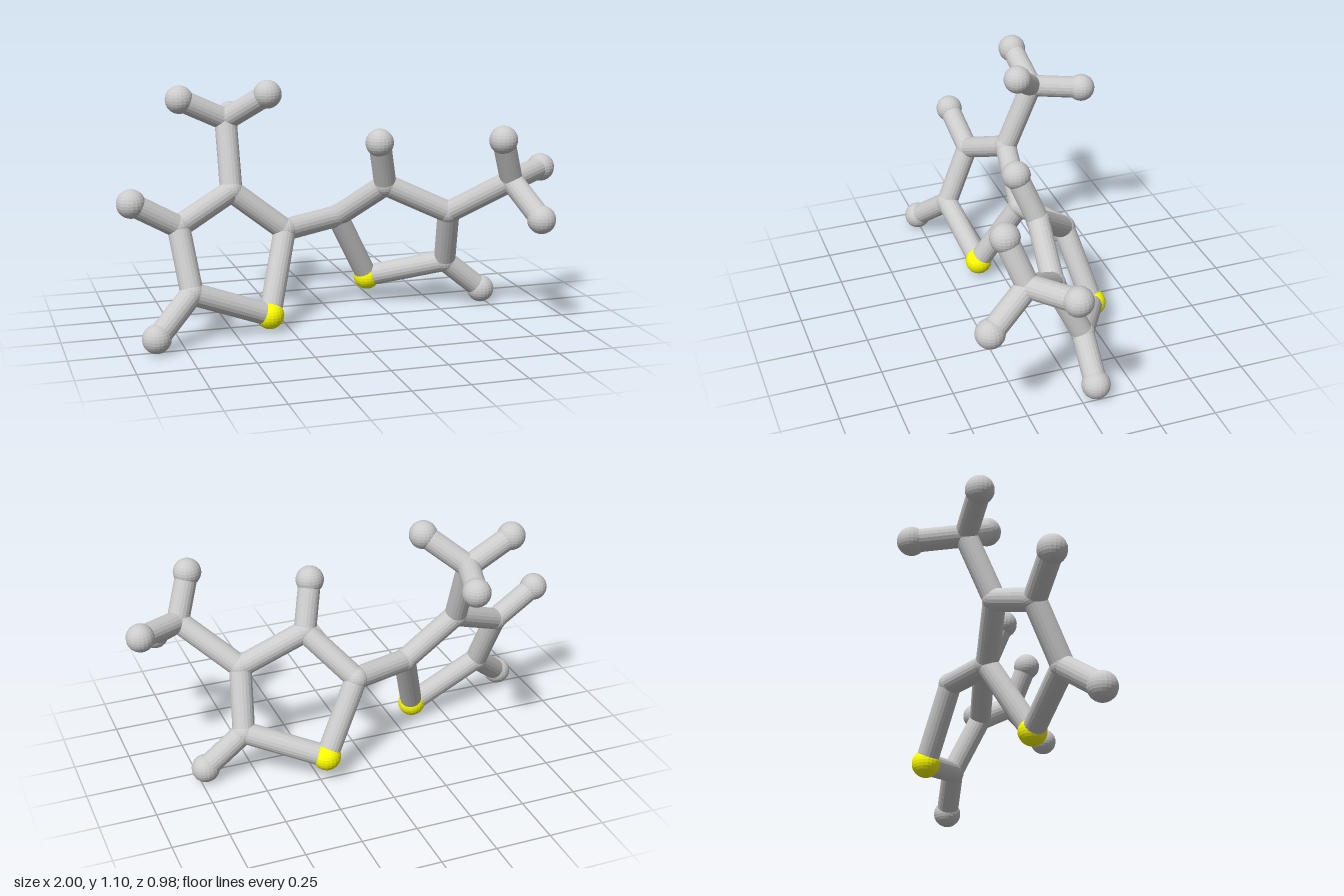
import * as THREE from 'three';

const BOND_R = 0.05;
const JOINT_R = 0.054;
const BALL_R = 0.063;

// Atom centres of each half: ring atoms, methyl carbon and hydrogens
const halves = {
  right: {
    atoms: {
      sulfur: [-0.345, 0.08, 0.105], linkCarbon: [-0.23, 0.42, -0.065],
      methylRingCarbon: [-0.47, 0.61, -0.08], upperCarbon: [-0.73, 0.49, 0.03],
      lowerCarbon: [-0.70, 0.22, 0.15], methylCarbon: [-0.463, 0.91, -0.205],
      upperHydrogen: [-0.937, 0.61, 0.055], lowerHydrogen: [-0.875, 0.066, 0.258],
      methylHydrogen1: [-0.675, 1.012, -0.185], methylHydrogen2: [-0.30, 1.035, -0.08],
      methylHydrogen3: [-0.395, 0.895, -0.428],
    },
    ring: ['sulfur', 'linkCarbon', 'methylRingCarbon', 'upperCarbon', 'lowerCarbon'],
    branches: [['upperCarbon', 'upperHydrogen'], ['lowerCarbon', 'lowerHydrogen']],
  },
  left: {
    atoms: {
      sulfur: [0.22, 0.12, -0.253], linkCarbon: [0.05, 0.44, -0.175],
      upperCarbon: [0.22, 0.615, 0.012], methylRingCarbon: [0.512, 0.477, 0.05],
      lowerCarbon: [0.545, 0.215, -0.075], methylCarbon: [0.733, 0.65, 0.245],
      upperHydrogen: [0.165, 0.823, 0.092], lowerHydrogen: [0.725, 0.067, -0.068],
      methylHydrogen1: [0.66, 0.848, 0.315], methylHydrogen2: [0.935, 0.674, 0.108],
      methylHydrogen3: [0.80, 0.507, 0.428],
    },
    ring: ['sulfur', 'linkCarbon', 'upperCarbon', 'methylRingCarbon', 'lowerCarbon'],
    branches: [['upperCarbon', 'upperHydrogen'], ['lowerCarbon', 'lowerHydrogen']],
  },
};

export function createModel() {
  const model = new THREE.Group();
  model.name = 'molecule';
  const grey = new THREE.MeshStandardMaterial({ color: 0xcccccc, flatShading: true });
  const yellow = new THREE.MeshStandardMaterial({ color: 0xffff00, flatShading: true });
  const ball = new THREE.SphereGeometry(BALL_R, 20, 14);
  const joint = new THREE.SphereGeometry(JOINT_R, 20, 14);
  const up = new THREE.Vector3(0, 1, 0);

  const addBond = (group, from, to, name) => {
    const a = new THREE.Vector3(...from);
    const b = new THREE.Vector3(...to);
    const dir = b.clone().sub(a);
    const bond = new THREE.Mesh(new THREE.CylinderGeometry(BOND_R, BOND_R, dir.length(), 20), grey);
    bond.position.copy(a).add(b).multiplyScalar(0.5);
    bond.quaternion.setFromUnitVectors(up, dir.normalize());
    bond.name = name;
    group.add(bond);
  };

  for (const [side, { atoms, ring, branches }] of Object.entries(halves)) {
    const group = new THREE.Group();
    group.name = `${side}Half`;

    // Atoms: carbons are small joints, the others are larger balls
    for (const [name, position] of Object.entries(atoms)) {
      const isCarbon = name.endsWith('Carbon');
      const atom = new THREE.Mesh(isCarbon ? joint : ball, name === 'sulfur' ? yellow : grey);
      atom.position.set(...position);
      atom.name = name;
      group.add(atom);
    }

    // Five-sided ring
    ring.forEach((name, i) => addBond(group, atoms[name], atoms[ring[(i + 1) % 5]], 'ringBond'));

    // Hydrogen bonds and the methyl branch
    for (const [a, b] of branches) addBond(group, atoms[a], atoms[b], 'hydrogenBond');
    addBond(group, atoms.methylRingCarbon, atoms.methylCarbon, 'methylStem');
    for (let i = 1; i <= 3; i++) {
      addBond(group, atoms.methylCarbon, atoms[`methylHydrogen${i}`], 'methylBond');
    }
    model.add(group);
  }

  // Bond joining the two rings
  addBond(model, halves.right.atoms.linkCarbon, halves.left.atoms.linkCarbon, 'linkBond');
  return model;
}
